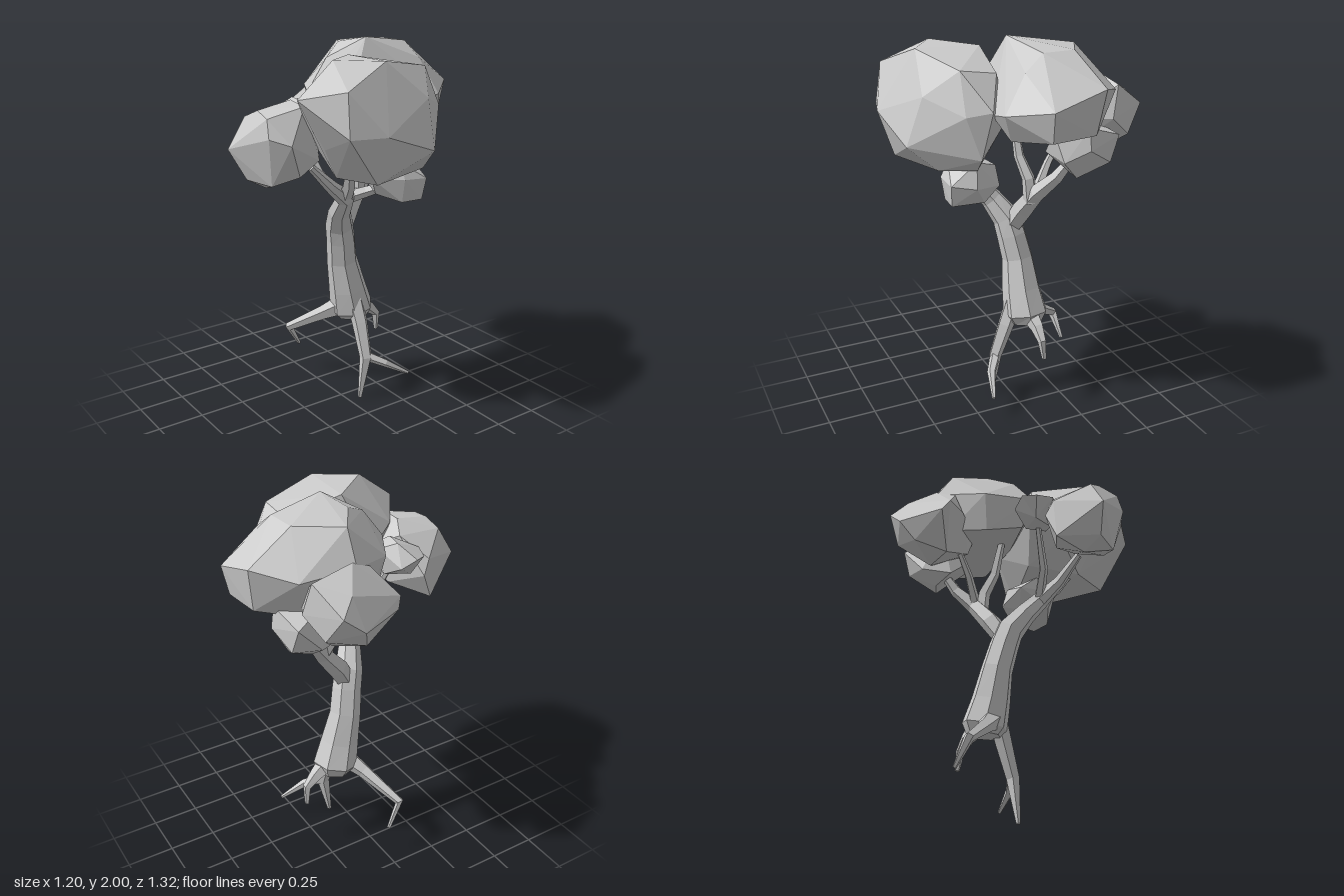
import * as THREE from 'three';
import { ConvexGeometry } from 'three/addons/geometries/ConvexGeometry.js';

const material = new THREE.MeshStandardMaterial({ color: 0xcccccc, flatShading: true });

// Tapered faceted limb: rings of `sides` corners swept along [x, y, z, radius] stations
function limbGeometry(stations, sides) {
  const centres = stations.map(([x, y, z]) => new THREE.Vector3(x, y, z));
  const last = centres.length - 1;
  const pos = [], index = [];
  let tangent = new THREE.Vector3(0, 1, 0);
  const u = new THREE.Vector3(1, 0, 0), w = new THREE.Vector3(0, 0, -1);
  centres.forEach((c, i) => {
    const next = centres[Math.min(i + 1, last)].clone().sub(centres[Math.max(i - 1, 0)]).normalize();
    const turn = new THREE.Quaternion().setFromUnitVectors(tangent, next);
    u.applyQuaternion(turn);
    w.applyQuaternion(turn);
    tangent = next;
    for (let k = 0; k < sides; k++) {
      const a = (k + 0.5) / sides * Math.PI * 2;
      const p = c.clone().addScaledVector(u, Math.cos(a) * stations[i][3]).addScaledVector(w, Math.sin(a) * stations[i][3]);
      pos.push(p.x, p.y, p.z);
    }
  });
  for (let i = 0; i < last; i++) {
    for (let k = 0; k < sides; k++) {
      const a = i * sides + k, b = i * sides + (k + 1) % sides;
      index.push(a, b, b + sides, a, b + sides, a + sides);
    }
  }
  // end caps
  for (let k = 1; k < sides - 1; k++) {
    index.push(0, k + 1, k);
    index.push(last * sides, last * sides + k, last * sides + k + 1);
  }
  const g = new THREE.BufferGeometry();
  g.setAttribute('position', new THREE.Float32BufferAttribute(pos, 3));
  g.setIndex(index);
  g.computeVertexNormals();
  return g;
}

function addLimb(group, name, stations, sides = 5) {
  const mesh = new THREE.Mesh(limbGeometry(stations, sides), material);
  mesh.name = name;
  group.add(mesh);
}

// Faceted leaf clump: hull around a few corner points
function addClump(group, name, corners) {
  const mesh = new THREE.Mesh(new ConvexGeometry(corners.map((p) => new THREE.Vector3(...p))), material);
  mesh.name = name;
  group.add(mesh);
}

export function createModel() {
  const tree = new THREE.Group();
  tree.name = 'tree';

  // Leaning trunk, running on into the front branch
  addLimb(tree, 'trunk', [
    [-0.09, 0.44, -0.14, 0.09], [-0.09, 0.49, -0.135, 0.122], [-0.08, 0.62, -0.10, 0.105],
    [-0.075, 0.79, -0.06, 0.085], [-0.05, 0.92, -0.035, 0.08], [-0.03, 1.01, -0.01, 0.076], [0.035, 1.11, 0.035, 0.06],
    [0.12, 1.21, 0.06, 0.05], [0.16, 1.30, 0.18, 0.034], [0.18, 1.42, 0.31, 0.02],
  ], 7);

  // Roots standing clear of the ground
  const roots = new THREE.Group();
  roots.name = 'roots';
  addLimb(roots, 'leftRoot', [[-0.03, 0.56, -0.11, 0.05], [0.02, 0.43, -0.115, 0.046], [0.085, 0.24, -0.11, 0.036], [0.085, 0.005, -0.07, 0.012]]);
  addLimb(roots, 'leftRootFork', [[0.08, 0.25, -0.11, 0.03], [0.145, 0.205, -0.20, 0.024], [0.19, 0.125, -0.33, 0.01]]);
  addLimb(roots, 'rightRoot', [[-0.09, 0.51, -0.08, 0.06], [-0.19, 0.44, -0.01, 0.04], [-0.385, 0.31, 0.10, 0.026], [-0.405, 0.175, 0.02, 0.01]]);
  addLimb(roots, 'backRoot', [[-0.09, 0.50, -0.18, 0.055], [-0.10, 0.45, -0.26, 0.037], [-0.10, 0.395, -0.315, 0.024], [-0.11, 0.29, -0.325, 0.013]]);
  tree.add(roots);

  // Branches
  const branches = new THREE.Group();
  branches.name = 'branches';
  addLimb(branches, 'frontBranchFork', [[0.11, 1.20, 0.06, 0.042], [0.21, 1.30, 0.10, 0.032], [0.29, 1.42, 0.15, 0.02]]);
  addLimb(branches, 'sideBranch', [[0.10, 1.20, 0.05, 0.035], [0.15, 1.23, -0.05, 0.03], [0.23, 1.27, -0.15, 0.02]]);
  addLimb(branches, 'backBranch', [[-0.045, 0.96, -0.035, 0.05], [-0.08, 1.08, -0.11, 0.056], [-0.11, 1.20, -0.21, 0.046], [-0.18, 1.30, -0.29, 0.034], [-0.26, 1.43, -0.34, 0.02]]);
  addLimb(branches, 'backBranchFork', [[-0.09, 1.14, -0.18, 0.04], [-0.08, 1.27, -0.17, 0.035], [-0.05, 1.38, -0.12, 0.028], [-0.04, 1.58, -0.07, 0.02]]);
  addLimb(branches, 'rightTwig', [[-0.11, 1.20, -0.20, 0.03], [-0.19, 1.34, -0.17, 0.022], [-0.28, 1.48, -0.16, 0.015]]);
  addLimb(branches, 'frontTwig', [[0.11, 1.21, 0.07, 0.03], [0.05, 1.34, 0.17, 0.024], [-0.05, 1.56, 0.23, 0.015]]);
  tree.add(branches);

  // Leaf clumps
  const leaves = new THREE.Group();
  leaves.name = 'leaves';
  addClump(leaves, 'leftLargeClump', [
    [0.43, 1.935, 0.05], [0.285, 1.94, 0.25], [0.10, 1.93, 0.03], [0.33, 1.88, -0.27], [0.14, 1.85, -0.26],
    [0.48, 1.75, -0.17], [0.52, 1.83, 0.33], [0.32, 1.78, 0.47], [0.22, 1.70, -0.40], [0.34, 1.68, -0.36],
    [0.56, 1.51, -0.15], [0.60, 1.62, 0.16], [0.55, 1.62, 0.34], [0.11, 1.72, 0.33], [-0.02, 1.66, 0.14],
    [0.03, 1.65, -0.05], [0.10, 1.62, -0.28], [0.52, 1.38, 0.16], [0.27, 1.37, 0.22], [0.42, 1.39, -0.20],
    [0.25, 1.39, -0.28], [0.10, 1.45, 0], [0.32, 1.53, 0.32], [0.27, 1.47, -0.38], [0.12, 1.52, 0.25],
  ]);
  addClump(leaves, 'backLargeClump', [
    [0.03, 2.0, -0.13], [-0.02, 1.96, -0.42], [-0.19, 1.96, -0.41], [-0.31, 1.95, -0.19], [-0.14, 1.965, -0.08],
    [-0.06, 1.90, 0.05], [0.08, 1.88, -0.44], [-0.23, 1.82, -0.65], [0.04, 1.74, -0.66], [0.20, 1.70, -0.48],
    [0.21, 1.68, -0.36], [0.10, 1.80, -0.02], [0.06, 1.74, 0.08], [-0.04, 1.74, 0.18], [-0.27, 1.74, 0.05],
    [-0.41, 1.79, -0.20], [-0.38, 1.77, -0.48], [-0.20, 1.60, -0.62], [0.03, 1.59, -0.63], [0.14, 1.56, -0.42],
    [-0.35, 1.56, -0.15], [-0.30, 1.55, -0.40], [-0.23, 1.54, 0.02], [-0.05, 1.53, -0.40], [0.05, 1.57, -0.10],
    [-0.06, 1.58, 0.12],
  ]);
  addClump(leaves, 'rightClump', [
    [-0.59, 1.66, -0.38], [-0.42, 1.78, -0.44], [-0.53, 1.73, -0.30], [-0.40, 1.82, -0.22], [-0.60, 1.57, -0.27],
    [-0.50, 1.58, -0.03], [-0.47, 1.63, 0], [-0.34, 1.63, -0.05], [-0.36, 1.76, -0.10], [-0.53, 1.46, -0.22],
    [-0.39, 1.40, -0.12], [-0.36, 1.40, -0.30], [-0.21, 1.47, -0.16], [-0.18, 1.58, -0.14], [-0.50, 1.52, -0.42],
    [-0.24, 1.47, -0.34], [-0.38, 1.62, -0.47], [-0.22, 1.62, -0.38],
  ]);
  addClump(leaves, 'frontClump', [
    [0, 1.52, 0.66], [0.01, 1.67, 0.57], [0.10, 1.71, 0.55], [0.22, 1.69, 0.57], [0.25, 1.60, 0.58],
    [0.32, 1.57, 0.50], [0.09, 1.74, 0.36], [0.24, 1.73, 0.38], [-0.01, 1.69, 0.31], [-0.12, 1.58, 0.42],
    [-0.14, 1.50, 0.38], [-0.12, 1.36, 0.44], [0.04, 1.31, 0.48], [0.05, 1.37, 0.59], [0.20, 1.36, 0.54],
    [0.26, 1.40, 0.42], [0.04, 1.42, 0.28], [0.20, 1.45, 0.27], [0.12, 1.62, 0.24],
  ]);
  addClump(leaves, 'frontSmallClump', [
    [-0.21, 1.64, 0.28], [-0.19, 1.60, 0.20], [-0.12, 1.71, 0.22], [-0.02, 1.71, 0.24], [-0.05, 1.67, 0.15],
    [-0.08, 1.64, 0.38], [-0.17, 1.63, 0.35], [0.01, 1.65, 0.32], [0.05, 1.66, 0.20], [0.04, 1.56, 0.20],
    [-0.13, 1.53, 0.30], [-0.02, 1.52, 0.30], [-0.08, 1.54, 0.17],
  ]);
  addClump(leaves, 'backLowClump', [
    [-0.27, 1.33, -0.36], [-0.20, 1.34, -0.45], [-0.27, 1.36, -0.23], [-0.37, 1.40, -0.36], [-0.35, 1.42, -0.51],
    [-0.22, 1.50, -0.545], [-0.12, 1.43, -0.47], [-0.10, 1.45, -0.31], [-0.18, 1.44, -0.21], [-0.40, 1.55, -0.50],
    [-0.22, 1.61, -0.53], [-0.09, 1.58, -0.41], [-0.30, 1.62, -0.28],
  ]);
  addClump(leaves, 'leftLowClump', [
    [0.15, 1.24, -0.13], [0.27, 1.25, -0.02], [0.36, 1.21, -0.12], [0.37, 1.21, -0.24], [0.20, 1.21, -0.25],
    [0.38, 1.33, -0.12], [0.38, 1.32, -0.26], [0.26, 1.30, -0.30], [0.11, 1.28, -0.23], [0.09, 1.33, -0.05],
    [0.29, 1.34, 0.02], [0.18, 1.41, -0.02], [0.34, 1.41, -0.12], [0.24, 1.42, -0.25], [0.12, 1.38, -0.20],
  ]);
  tree.add(leaves);
  return tree;
}
